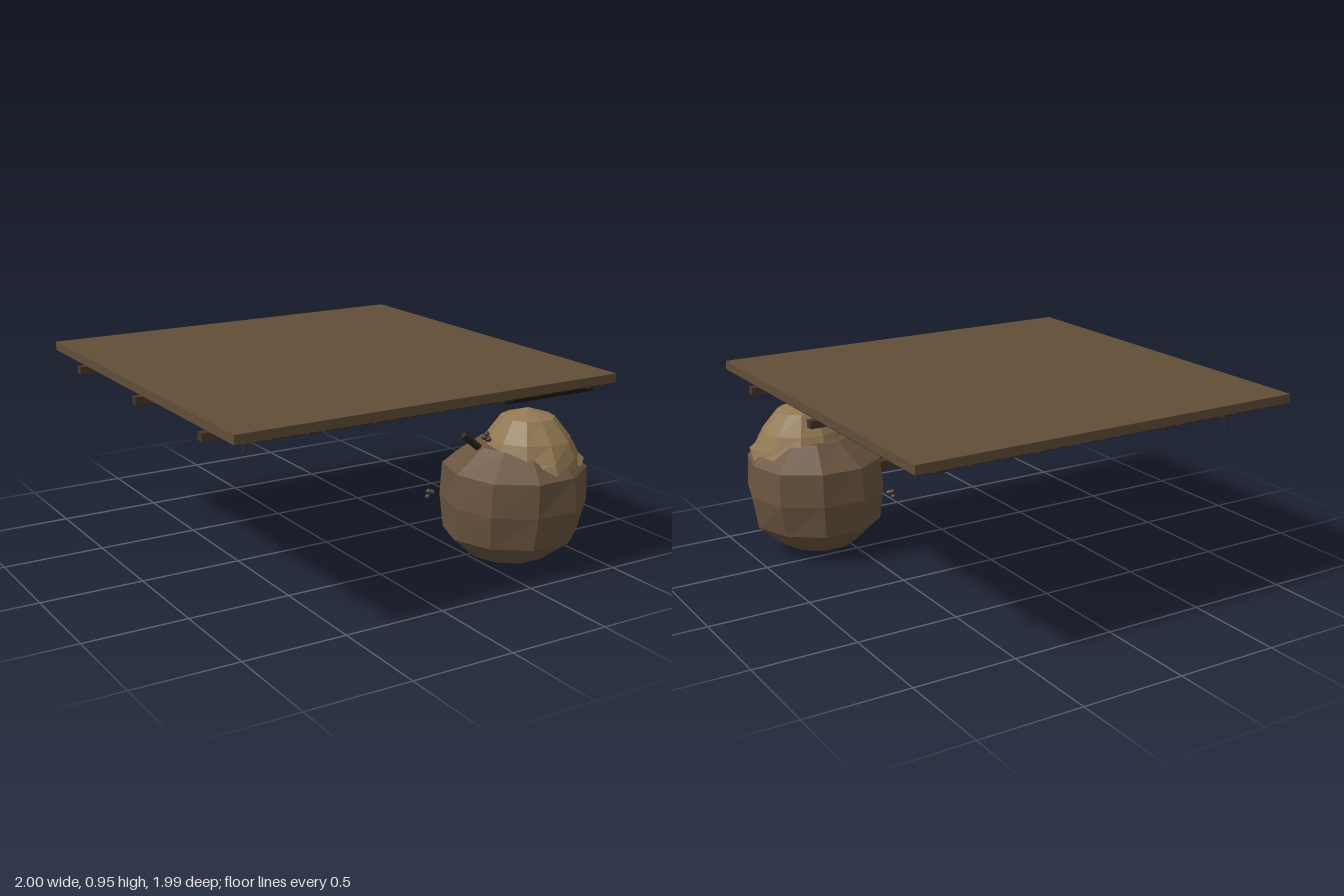
import * as THREE from 'three';

let seed = 7;
const rand = () => (seed = (seed * 16807) % 2147483647) / 2147483647;
const spread = (a) => (rand() - 0.5) * 2 * a;

const material = (color, extra = {}) => new THREE.MeshStandardMaterial({ color, flatShading: true, ...extra });
const soil = material(0x624e38), plankWood = material(0x3a2f25), beamWood = material(0x4a362b);
const hatchDark = material(0x1a1814), rock = material(0x6a543f), capTan = material(0x927852, { side: THREE.DoubleSide });
const fungus = material(0x604732), rootWood = material(0x40342a), twigWood = material(0x2e251c);

function add(parent, name, geometry, mat, x = 0, y = 0, z = 0) {
  const mesh = new THREE.Mesh(geometry, mat);
  mesh.name = name;
  mesh.position.set(x, y, z);
  parent.add(mesh);
  return mesh;
}

// Tapered stick running from one point to another
function stick(parent, name, from, to, r0, r1, sides, mat) {
  const a = new THREE.Vector3(...from), b = new THREE.Vector3(...to);
  const dir = b.clone().sub(a);
  const mesh = add(parent, name, new THREE.CylinderGeometry(r1, r0, dir.length(), sides), mat);
  mesh.position.copy(a).add(b).multiplyScalar(0.5);
  mesh.quaternion.setFromUnitVectors(new THREE.Vector3(0, 1, 0), dir.normalize());
  return mesh;
}

function createCeiling() {
  const g = new THREE.Group();
  g.name = 'ceiling';
  add(g, 'slab', new THREE.BoxGeometry(1.97, 0.042, 1.97), soil, -0.015, 0.936, -0.015);

  // Uneven planks lining the underside
  const count = 24, pitch = 1.97 / count;
  for (let i = 0; i < count; i++) {
    const drop = 0.004 + rand() * 0.01;
    const plank = add(g, 'plank', new THREE.BoxGeometry(pitch * (0.7 + rand() * 0.25), drop, 1.96), plankWood,
      -1 + pitch * (i + 0.5), 0.916 - drop / 2, -0.015);
    plank.rotation.z = spread(0.03);
  }

  // Cross beams
  for (const z of [0.66, -0.013, -0.69]) {
    add(g, 'beam', new THREE.BoxGeometry(1.97, 0.037, 0.038), beamWood, -0.015, 0.872, z);
  }

  add(g, 'darkHatch', new THREE.BoxGeometry(0.51, 0.045, 0.5), hatchDark, 0.645, 0.893, 0.65);
  return g;
}

// Flattened lumps clinging to the planks
function createLumps() {
  const g = new THREE.Group();
  g.name = 'lumps';
  const profile = [[0, -0.036], [0.035, -0.035], [0.06, -0.026], [0.075, -0.01], [0.075, 0]]
    .map(([r, y]) => new THREE.Vector2(r, y));
  for (const [x, z, s] of [[-0.03, 0.235, 1], [-0.09, -0.1, 1], [0.63, -0.03, 0.9]]) {
    const lump = add(g, 'lump', new THREE.LatheGeometry(profile, 10), fungus, x, 0.91, z);
    lump.scale.set(s, 1, s);
    lump.rotation.y = x * 5;
  }
  return g;
}

// Tufts of thin hanging roots
function createRoots() {
  const g = new THREE.Group();
  g.name = 'roots';
  const tufts = [[-0.74, 0.56, 0.2, 7], [-0.82, -0.78, 0.17, 6], [-0.6, 0.47, 0.13, 5],
    [-0.28, 0.12, 0.1, 4], [-0.05, -0.25, 0.13, 5], [0.73, 0.12, 0.09, 5]];
  for (const [x, z, length, n] of tufts) {
    for (let i = 0; i < n; i++) {
      const px = x + spread(0.05), pz = z + spread(0.05);
      const drop = length * (0.55 + 0.45 * rand());
      const mid = [px + spread(0.012), 0.91 - drop * 0.5, pz + spread(0.012)];
      const tip = [mid[0] + spread(0.02), 0.91 - drop, mid[2] + spread(0.02)];
      stick(g, 'root', [px, 0.91, pz], mid, 0.004, 0.0025, 4, rootWood);
      stick(g, 'rootTip', mid, tip, 0.0025, 0.0006, 4, rootWood);
    }
  }
  return g;
}

// Faceted surface lofted through rings of [y, radius, centreX, centreZ], with a little wobble
function loft(rings, sides, wobble, ragged = 0) {
  const pos = [], index = [];
  rings.forEach(([y, r, cx, cz], k) => {
    for (let i = 0; i < sides; i++) {
      const a = (i / sides) * Math.PI * 2;
      const rr = r * (1 + wobble * Math.sin(i * 2.4 + k * 1.3));
      const dy = k === 0 ? ragged * Math.sin(i * 2.1) : 0;
      pos.push(cx + rr * Math.cos(a), y + dy, cz + rr * Math.sin(a));
    }
    if (k === 0) return;
    for (let i = 0; i < sides; i++) {
      const a = (k - 1) * sides + i, b = (k - 1) * sides + (i + 1) % sides;
      index.push(a, a + sides, b, b, a + sides, b + sides);
    }
  });
  const geo = new THREE.BufferGeometry();
  geo.setAttribute('position', new THREE.Float32BufferAttribute(pos, 3));
  geo.setIndex(index);
  geo.computeVertexNormals();
  return geo;
}

function createBoulder() {
  const g = new THREE.Group();
  g.name = 'boulder';
  add(g, 'rock', loft([
    [0.004, 0.0005, 0.62, 0.63], [0.046, 0.19, 0.645, 0.635], [0.163, 0.325, 0.645, 0.645],
    [0.326, 0.351, 0.65, 0.652], [0.488, 0.338, 0.648, 0.657], [0.6, 0.2, 0.655, 0.66], [0.64, 0.0005, 0.66, 0.66],
  ], 10, 0.015), rock);

  // Pale ragged cap draped over the top
  add(g, 'cap', loft([
    [0.5, 0.258, 0.7, 0.7], [0.555, 0.235, 0.7, 0.7], [0.635, 0.2, 0.695, 0.7],
    [0.732, 0.125, 0.69, 0.695], [0.774, 0.0005, 0.685, 0.7],
  ], 11, 0.025, 0.03), capTan);

  // Twig and small sprigs poking out
  stick(g, 'twig', [0.52, 0.54, 0.63], [0.365, 0.668, 0.63], 0.018, 0.018, 4, twigWood);
  for (const [x, y, z] of [[0.495, 0.635, 0.64], [0.36, 0.3, 0.39]]) {
    for (let i = 0; i < 4; i++) {
      add(g, 'sprig', new THREE.IcosahedronGeometry(0.015, 0), rootWood,
        x + spread(0.015), y + spread(0.025), z + spread(0.015));
    }
  }
  return g;
}

export function createModel() {
  seed = 7;
  const model = new THREE.Group();
  model.name = 'caveCeilingWithBoulder';
  model.add(createCeiling(), createLumps(), createRoots(), createBoulder());
  return model;
}
